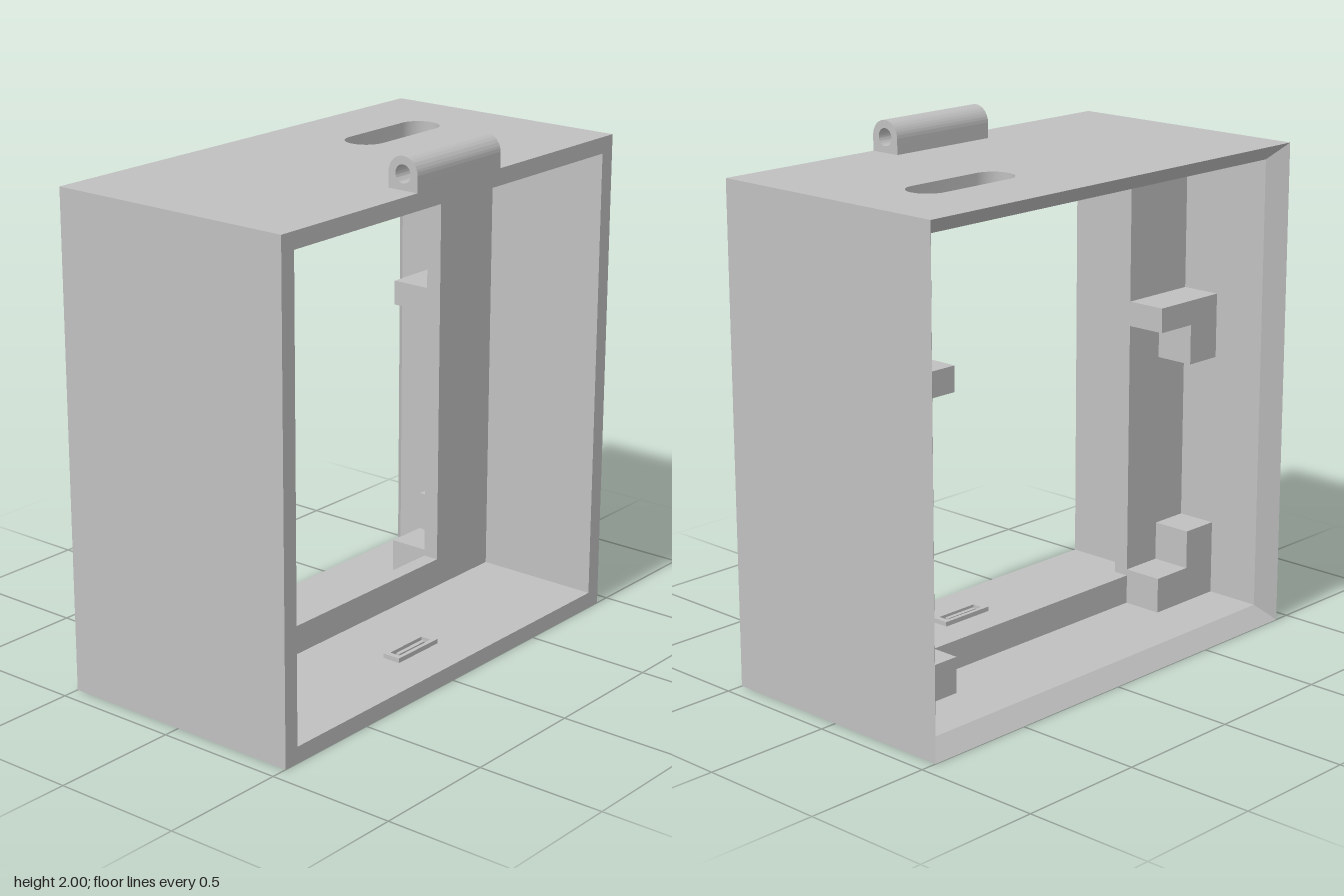
import * as THREE from 'three';
import { toCreasedNormals } from 'three/addons/utils/BufferGeometryUtils.js';

const W = 0.935, H = 1.88, D = 0.5, T = 0.0625; // outer half width, height, half depth, wall
const IW = W - T, IB = T, IT = H - T;           // inner half width, floor and ceiling
const OPEN = 0.55;                              // half width of the plate opening

// Turns a list of four-cornered faces into a geometry
function quads(list) {
  const pos = [];
  for (const [a, b, c, d] of list) pos.push(...a, ...b, ...c, ...a, ...c, ...d);
  const g = new THREE.BufferGeometry();
  g.setAttribute('position', new THREE.Float32BufferAttribute(pos, 3));
  g.computeVertexNormals();
  return g;
}

function polygon(points) {
  return new THREE.Shape(points.map(([x, y]) => new THREE.Vector2(x, y)));
}

function extrude(shape, depth, z = 0) {
  const g = new THREE.ExtrudeGeometry(shape, { depth, bevelEnabled: false, curveSegments: 32 });
  return g.translate(0, 0, z);
}

export function createModel() {
  const group = new THREE.Group();
  const grey = new THREE.MeshStandardMaterial({ color: 0xc0c0c0 });
  grey.name = 'light grey';
  const add = (name, geometry, parent = group) => {
    const mesh = new THREE.Mesh(geometry, grey);
    mesh.name = name;
    parent.add(mesh);
    return mesh;
  };

  // Frame walls: rectangular loops, with a bevel to a sharp rim at the back
  const loop = (w, b, t, z) => [[-w, b, z], [w, b, z], [w, t, z], [-w, t, z]];
  const loops = [
    loop(W, 0, H, -D), loop(W, 0, H, D), loop(IW, IB, IT, D),
    loop(IW, IB, IT, T - D), loop(W, 0, H, -D),
  ];
  const faces = [];
  for (let i = 0; i < 4; i++) {
    for (let k = 0; k < 4; k++) {
      if (k === 2 && i % 2 === 0) continue; // top panels are made with the slot below
      const n = (k + 1) % 4;
      faces.push([loops[i][k], loops[i][n], loops[i + 1][n], loops[i + 1][k]]);
    }
  }
  add('frameWalls', quads(faces));

  // Slot outline through the top wall, as x and z
  const slot = [], R = 0.0785, zc = -0.1425, N = 20;
  for (const [cx, start] of [[0.67 - R, -Math.PI / 2], [0.2 + R, Math.PI / 2]]) {
    for (let i = 0; i <= N; i++) {
      const a = start + Math.PI * i / N;
      slot.push([cx + R * Math.cos(a), zc - R * Math.sin(a)]);
    }
  }
  const panel = (w, z0, z1, y, side) => {
    const s = polygon([[-w, -side * z0], [w, -side * z0], [w, -side * z1], [-w, -side * z1]]);
    s.holes.push(new THREE.Path(slot.map(([x, z]) => new THREE.Vector2(x, -side * z))));
    return new THREE.ShapeGeometry(s).rotateX(-side * Math.PI / 2).translate(0, y, 0);
  };
  add('topOutside', panel(W, -D, D, H, 1));
  add('topInside', panel(IW, T - D, D, IT, -1));
  const rim = slot.map(([x, z], i) => {
    const [u, v] = slot[(i + 1) % slot.length];
    return [[x, H, z], [u, H, v], [u, IT, v], [x, IT, z]];
  });
  add('slotRim', toCreasedNormals(quads(rim), 0.5));

  // Middle plate, open at the top between its two uprights
  add('middlePlate', extrude(polygon([
    [-IW, IB], [IW, IB], [IW, IT], [OPEN, IT], [OPEN, 0.175],
    [-OPEN, 0.175], [-OPEN, IT], [-IW, IT],
  ]), T, -T));

  // L-shaped brackets behind the plate
  for (const s of [1, -1]) {
    const side = s > 0 ? 'left' : 'right';
    const corner = (bar, inner, leg) => extrude(polygon([
      [s * IW, bar], [s * OPEN, bar], [s * OPEN, inner],
      [s * 0.72, inner], [s * 0.72, leg], [s * IW, leg],
    ]), 0.158, -0.22);
    add(side + 'UpperBracket', corner(1.27, 1.175, 1.02));
    add(side + 'LowerBracket', corner(IB, 0.2, 0.35));
  }

  // Hinge knuckle on the front top edge
  const hy = 2 - T, hz = -(D - T);
  const knuckle = new THREE.Shape();
  knuckle.moveTo(-D, H);
  knuckle.lineTo(-D + 2 * T, H);
  knuckle.lineTo(-D + 2 * T, hy);
  knuckle.absarc(hz, hy, T, 0, Math.PI, false);
  knuckle.lineTo(-D, H);
  knuckle.holes.push(new THREE.Path().absarc(hz, hy, 0.033, 0, Math.PI * 2, true));
  add('hingeKnuckle', toCreasedNormals(
    extrude(knuckle, 0.47).rotateY(Math.PI / 2).translate(-0.235, 0, 0), 0.5));

  // Small socket on the floor: a raised rim round a tongue
  const socket = new THREE.Group();
  socket.name = 'floorSocket';
  group.add(socket);
  const rect = (w, h) => [[-w, -h], [w, -h], [w, h], [-w, h]];
  const ring = polygon(rect(0.115, 0.037));
  ring.holes.push(polygon(rect(0.093, 0.021)));
  add('socketRim', extrude(ring, 0.018).rotateX(-Math.PI / 2), socket);
  add('socketTongue', new THREE.BoxGeometry(0.15, 0.014, 0.016).translate(0, 0.007, 0), socket);
  socket.position.set(0, IB, 0.303);

  return group;
}
